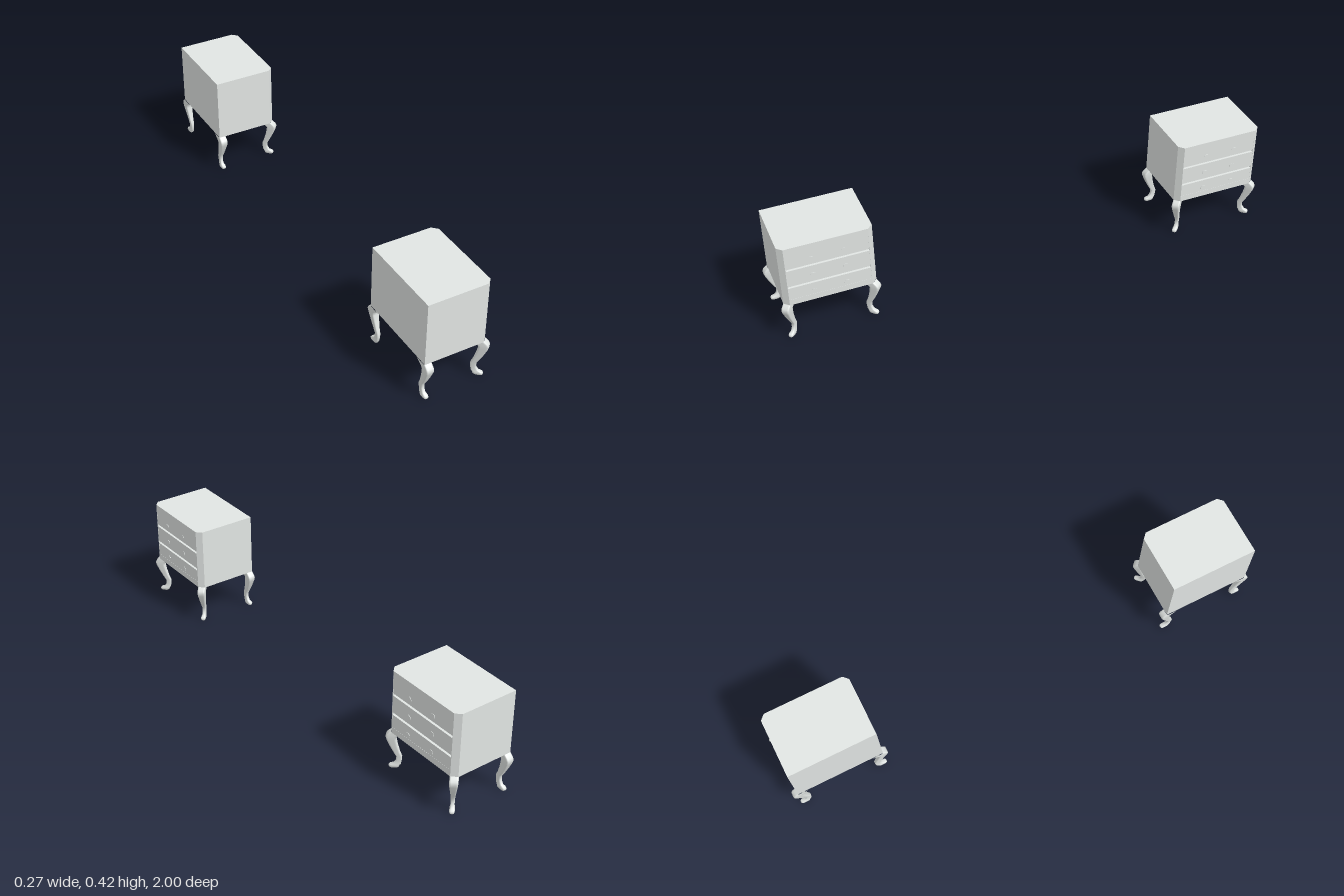
import * as THREE from 'three';

const BOTTOM = 0.1615, TOP = 0.4205, BACK = -0.135, FRONT = 0.1235;
const HALF = 0.178, CHAMFER = 0.02, RECESS = 0.01, OPENING = 0.156, WALL = 0.003;

// Extrude a plan outline of [x, z] points upward from y0 to y1
function plan(points, y0, y1, hole) {
  const shape = new THREE.Shape(points.map(([x, z]) => new THREE.Vector2(x, z)));
  if (hole) shape.holes.push(new THREE.Path(hole.map(([x, z]) => new THREE.Vector2(x, z))));
  const geo = new THREE.ExtrudeGeometry(shape, { depth: y1 - y0, bevelEnabled: false });
  return geo.rotateX(-Math.PI / 2).translate(0, y0, 0);
}

// Cabriole leg: sections of [y, outward offset, half depth, half width],
// rounded at the foot and squarer toward the knee
function legGeometry() {
  const sections = [
    [0, -0.012, 0.013, 0.006], [0.004, -0.0125, 0.018, 0.009], [0.009, -0.013, 0.0195, 0.010],
    [0.014, -0.0155, 0.0185, 0.0095], [0.018, -0.024, 0.014, 0.0075], [0.032, -0.030, 0.0105, 0.007],
    [0.050, -0.031, 0.0105, 0.0078], [0.070, -0.021, 0.012, 0.0092], [0.100, -0.009, 0.015, 0.012],
    [0.125, -0.001, 0.0175, 0.0148], [0.139, 0.002, 0.0185, 0.016], [0.149, -0.006, 0.0225, 0.0158],
    [0.157, -0.018, 0.026, 0.0155], [0.1625, -0.026, 0.027, 0.0155],
  ];
  const sides = 20, pos = [], index = [];
  for (const [y, u, depth, width] of sections) {
    const power = THREE.MathUtils.mapLinear(y, 0, 0.163, 0.6, 0.28);
    const soft = (v) => Math.sign(v) * Math.pow(Math.abs(v), power);
    for (let j = 0; j < sides; j++) {
      const a = ((j + 0.5) / sides) * Math.PI * 2;
      pos.push(width * soft(Math.cos(a)), y, u + depth * soft(Math.sin(a)));
    }
  }
  for (let i = 0; i < sections.length - 1; i++) {
    for (let j = 0; j < sides; j++) {
      const a = i * sides + j, b = i * sides + ((j + 1) % sides);
      index.push(a, a + sides, b, b, a + sides, b + sides);
    }
  }
  // sole of the foot
  const sole = pos.length / 3;
  pos.push(0, 0, sections[0][1]);
  for (let j = 0; j < sides; j++) index.push(sole, j, (j + 1) % sides);
  const geo = new THREE.BufferGeometry();
  geo.setAttribute('position', new THREE.Float32BufferAttribute(pos, 3));
  geo.setIndex(index);
  geo.computeVertexNormals();
  return geo;
}

export function createModel() {
  const paint = new THREE.MeshStandardMaterial({ color: 0xe1e5e3 });
  paint.name = 'pale grey';

  const add = (parent, name, geo, x = 0, y = 0, z = 0) => {
    const mesh = new THREE.Mesh(geo, paint);
    mesh.name = name;
    mesh.position.set(x, y, z);
    parent.add(mesh);
    return mesh;
  };

  // Chamfered outline, the same with a shallow opening for the drawers, and the hollow underside
  const outline = [
    [BACK, -HALF], [FRONT - CHAMFER, -HALF], [FRONT, -HALF + CHAMFER],
    [FRONT, HALF - CHAMFER], [FRONT - CHAMFER, HALF], [BACK, HALF],
  ];
  const opening = [
    [FRONT, -OPENING], [FRONT - RECESS, -OPENING], [FRONT - RECESS, OPENING], [FRONT, OPENING],
  ];
  const notched = [...outline.slice(0, 3), ...opening, ...outline.slice(3)];
  const hollow = [
    [BACK + WALL, -HALF + WALL], [FRONT - CHAMFER - 0.001, -HALF + WALL],
    [FRONT - WALL, -HALF + CHAMFER + 0.001], [FRONT - WALL, HALF - CHAMFER - 0.001],
    [FRONT - CHAMFER - 0.001, HALF - WALL], [BACK + WALL, HALF - WALL],
  ];
  const skirtTop = BOTTOM + 0.025, railBottom = 0.402;
  const skirtGeo = plan(outline, BOTTOM, skirtTop, hollow);
  const bodyGeo = plan(notched, skirtTop, railBottom);
  const topGeo = plan(outline, railBottom, TOP);
  const legGeo = legGeometry();
  const stemGeo = new THREE.CylinderGeometry(0.001, 0.001, 0.01, 8).rotateZ(-Math.PI / 2);
  const discGeo = new THREE.CylinderGeometry(0.0112, 0.0112, 0.0015, 12).rotateZ(-Math.PI / 2);

  // Drawers as [name, bottom, top, knob height]
  const drawers = [
    ['lowerDrawer', skirtTop, 0.239, 0.2075],
    ['middleDrawer', 0.249, 0.319, 0.2825],
    ['upperDrawer', 0.329, railBottom, 0.3575],
  ];

  function nightstand() {
    const stand = new THREE.Group();
    add(stand, 'skirt', skirtGeo);
    add(stand, 'carcass', bodyGeo);
    add(stand, 'top', topGeo);
    for (const [name, y0, y1, knobY] of drawers) {
      // drawer fronts sit a hair behind the posts
      const front = new THREE.BoxGeometry(RECESS, y1 - y0, OPENING * 2);
      add(stand, name, front, FRONT - RECESS / 2 - 0.0006, (y0 + y1) / 2);
      for (const z of [-0.062, 0.062]) {
        const knob = new THREE.Group();
        knob.name = 'knob';
        knob.position.set(FRONT, knobY, z);
        add(knob, 'knobStem', stemGeo, 0.002);
        add(knob, 'knobDisc', discGeo, 0.007);
        stand.add(knob);
      }
    }
    // Front legs point diagonally, rear legs point sideways
    for (const s of [1, -1]) {
      const front = add(stand, 'frontLeg', legGeo, FRONT - CHAMFER / 2, 0, s * (HALF - CHAMFER / 2));
      front.rotation.y = s > 0 ? Math.PI / 4 : (3 * Math.PI) / 4;
      const rear = add(stand, 'rearLeg', legGeo, -0.122, 0, s * HALF);
      rear.rotation.y = s > 0 ? 0 : Math.PI;
    }
    return stand;
  }

  const model = new THREE.Group();
  model.name = 'nightstandPair';
  for (const s of [1, -1]) {
    const stand = nightstand();
    stand.name = s > 0 ? 'nearNightstand' : 'farNightstand';
    stand.position.z = s * 0.802;
    model.add(stand);
  }
  return model;
}
